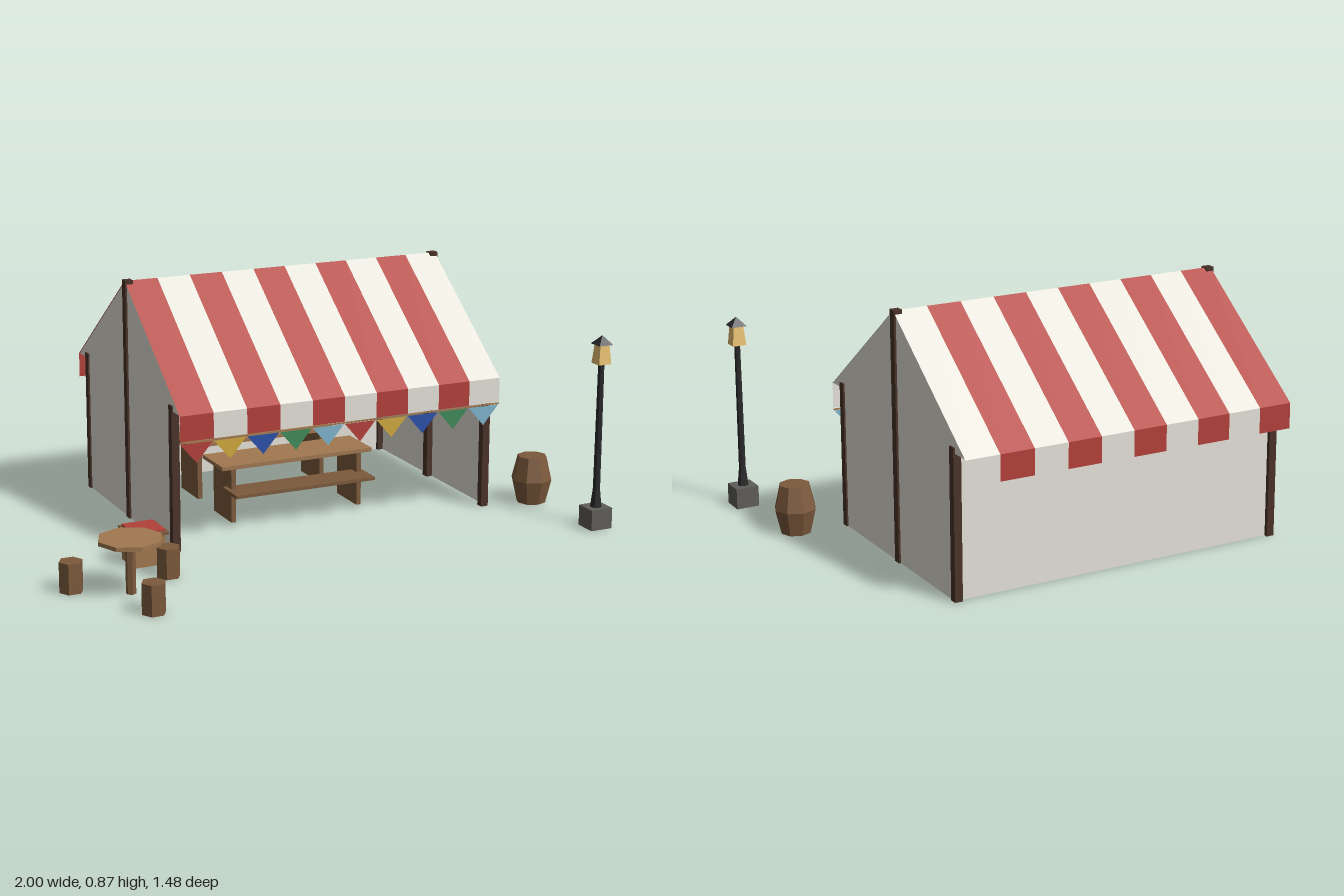
import * as THREE from 'three';

const mat = (color) => new THREE.MeshStandardMaterial({ color, flatShading: true, side: THREE.DoubleSide });
const M = {
  red: mat(0xb3403a), cream: mat(0xe4e2d8), post: mat(0x4a3228), wood: mat(0x7d5a3c),
  tan: mat(0xa07850), iron: mat(0x2a2a2c), stone: mat(0x5f5d59), glow: mat(0xe8c070),
  yellow: mat(0xd0a83e), blue: mat(0x2b50a8), green: mat(0x3f8a58), sky: mat(0x80b4cc),
};

// Tent limits
const X0 = -0.51, X1 = 0.728, RIDGE_Z = -0.245, RIDGE_Y = 0.87, EAVE_Y = 0.5;
const FRONT = 0.25, BACK = -0.74, WALL_F = 0.17, WALL_B = -0.65;

export function createModel() {
  const root = new THREE.Group();

  const add = (parent, name, geo, material, x = 0, y = 0, z = 0, ry = 0) => {
    const m = new THREE.Mesh(geo, material);
    m.name = name;
    m.position.set(x, y, z);
    m.rotation.y = ry;
    parent.add(m);
    return m;
  };
  const group = (name, x = 0, z = 0, parent = root) => {
    const g = new THREE.Group();
    g.name = name;
    g.position.set(x, 0, z);
    parent.add(g);
    return g;
  };
  // Box standing on height y
  const box = (p, name, w, h, d, material, x, y, z) =>
    add(p, name, new THREE.BoxGeometry(w, h, d), material, x, y + h / 2, z);
  // Prism or frustum standing on height y
  const prism = (p, name, rTop, rBottom, h, sides, material, x, y, z, ry = 0) =>
    add(p, name, new THREE.CylinderGeometry(rTop, rBottom, h, sides), material, x, y + h / 2, z, ry);
  // Flat convex polygon from a list of corners
  const panel = (p, name, pts, material) => {
    const geo = new THREE.BufferGeometry();
    const v = [];
    for (let i = 1; i < pts.length - 1; i++) v.push(...pts[0], ...pts[i], ...pts[i + 1]);
    geo.setAttribute('position', new THREE.Float32BufferAttribute(v, 3));
    geo.computeVertexNormals();
    return add(p, name, geo, material);
  };

  // Striped roof with hanging valances
  const tent = group('tent');
  const n = 10, sw = (X1 - X0) / n;
  for (let i = 0; i < n; i++) {
    const a = X0 + i * sw, b = a + sw, m = i % 2 ? M.cream : M.red;
    const strip = (name, y0, z0, y1, z1) =>
      panel(tent, name, [[a, y0, z0], [b, y0, z0], [b, y1, z1], [a, y1, z1]], m);
    strip('frontRoofStripe', EAVE_Y, FRONT, RIDGE_Y, RIDGE_Z);
    strip('backRoofStripe', RIDGE_Y, RIDGE_Z, EAVE_Y, BACK);
    strip('frontValance', 0.41, FRONT, EAVE_Y, FRONT);
    strip('backValance', EAVE_Y, BACK, 0.41, BACK);
  }

  // Cloth walls and gables
  for (const x of [X0 + 0.003, X1 - 0.003]) {
    panel(tent, 'sideWall', [[x, 0, WALL_F], [x, 0, WALL_B], [x, EAVE_Y, WALL_B], [x, EAVE_Y, WALL_F]], M.cream);
    panel(tent, 'gable', [[x, EAVE_Y, FRONT], [x, EAVE_Y, BACK], [x, RIDGE_Y, RIDGE_Z]], M.cream);
  }
  panel(tent, 'backWall', [[X1, 0, WALL_B], [X0, 0, WALL_B], [X0, EAVE_Y, WALL_B], [X1, EAVE_Y, WALL_B]], M.cream);

  // Posts at the corners and under the ridge
  for (const x of [X0 + 0.011, X1 - 0.011]) {
    for (const z of [WALL_F, WALL_B]) box(tent, 'cornerPost', 0.028, 0.52, 0.028, M.post, x, 0, z);
    box(tent, 'ridgePost', 0.03, 0.873, 0.03, M.post, x, 0, RIDGE_Z);
  }

  // Bunting under the front valance
  const bunting = group('bunting');
  const flags = [M.red, M.yellow, M.blue, M.green, M.sky];
  box(bunting, 'cord', X1 - X0, 0.005, 0.005, M.tan, (X0 + X1) / 2, 0.402, 0.246);
  for (let i = 0; i < n; i++) {
    const x = X0 + (i + 0.5) * sw, z = 0.246;
    panel(bunting, 'flag', [[x - 0.06, 0.4, z], [x, 0.33, z], [x + 0.06, 0.4, z]], flags[i % 5]);
  }

  // Counters inside the tent, the front one with a ledge
  const counter = (name, z) => {
    const g = group(name, 0.058, z);
    box(g, 'counterTop', 0.595, 0.014, 0.18, M.tan, 0, 0.2, 0);
    for (const s of [-1, 1]) box(g, 'counterPanel', 0.018, 0.2, 0.16, M.wood, s * 0.25, 0, 0);
    return g;
  };
  const front = counter('frontCounter', -0.11);
  box(front, 'ledge', 0.55, 0.012, 0.12, M.wood, 0, 0.113, 0.1);
  counter('backCounter', -0.42);

  // Round table with three stools
  const dining = group('tableSet', -0.79, 0.5);
  prism(dining, 'tableTop', 0.11, 0.11, 0.014, 8, M.tan, 0, 0.177, 0);
  prism(dining, 'tableLeg', 0.017, 0.017, 0.177, 6, M.wood, 0, 0, 0);
  for (const [x, z] of [[-0.17, -0.1], [0.172, -0.1], [0, 0.2]])
    prism(dining, 'stool', 0.041, 0.041, 0.105, 6, M.wood, x, 0, z, Math.PI / 6);

  // Crate with a red cushion
  const crate = group('crate', -0.638, 0.225);
  box(crate, 'crateBody', 0.115, 0.108, 0.115, M.tan, 0, 0, 0);
  box(crate, 'crateRim', 0.133, 0.012, 0.133, M.wood, 0, 0.106, 0);
  box(crate, 'cushion', 0.114, 0.008, 0.114, M.red, 0, 0.117, 0);

  // Eight-sided barrel
  const profile = [[0, 0], [0.054, 0], [0.075, 0.088], [0.054, 0.175], [0, 0.175]]
    .map(([r, y]) => new THREE.Vector2(r, y));
  add(root, 'barrel', new THREE.LatheGeometry(profile, 8), M.wood, 0.905, 0, 0.2);

  // Lamp post
  const lamp = group('lampPost', 0.955, 0.555);
  box(lamp, 'lampBase', 0.084, 0.075, 0.084, M.stone, 0, 0, 0);
  prism(lamp, 'poleFoot', 0.013, 0.021, 0.07, 8, M.iron, 0, 0.07, 0);
  prism(lamp, 'pole', 0.011, 0.013, 0.47, 8, M.iron, 0, 0.13, 0);
  prism(lamp, 'lantern', 0.026, 0.035, 0.07, 4, M.glow, 0, 0.598, 0, Math.PI / 4);
  prism(lamp, 'lanternCap', 0, 0.04, 0.032, 4, M.iron, 0, 0.667, 0, Math.PI / 4);

  return root;
}
